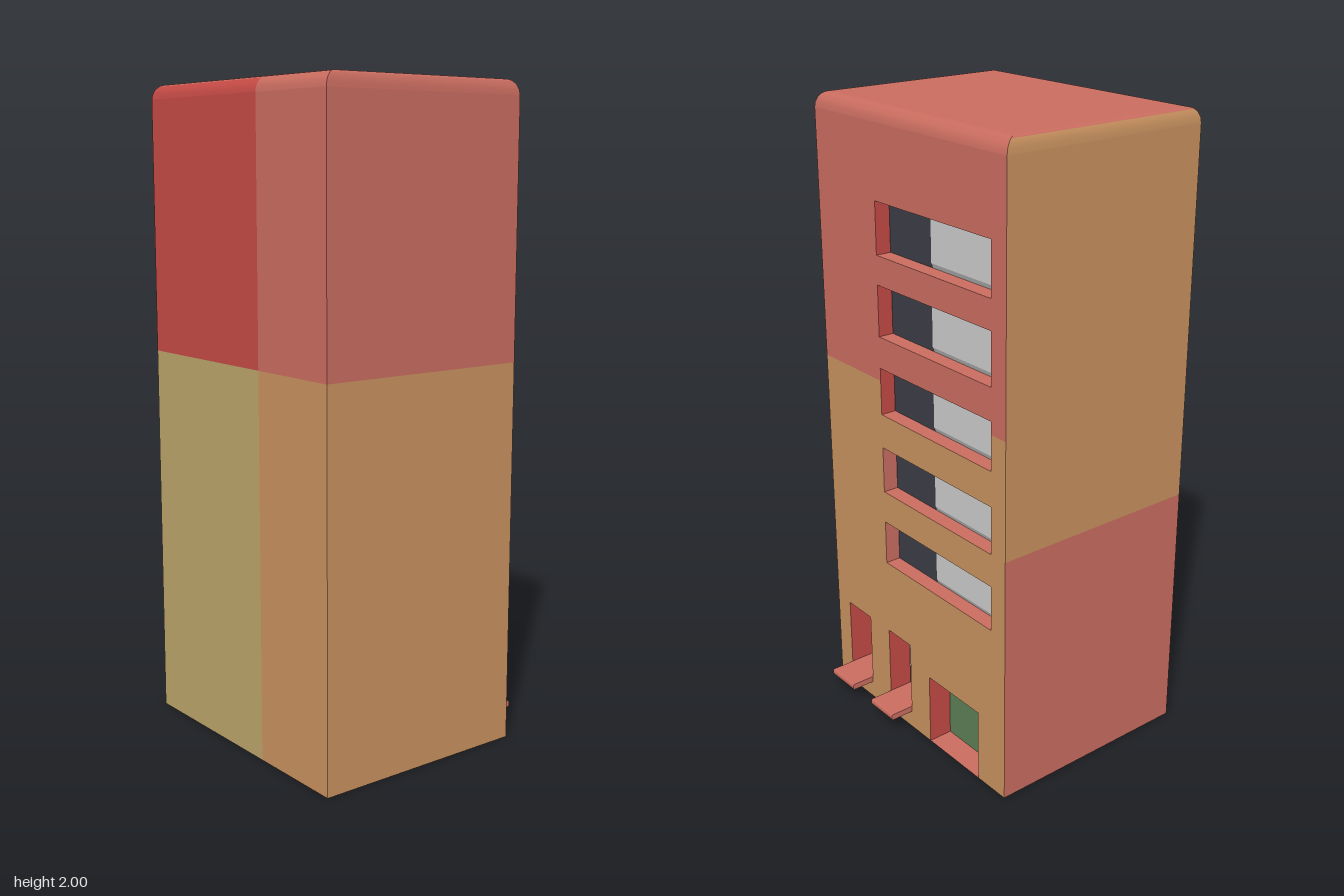
import * as THREE from 'three';

const X0 = -0.39, X1 = 0.31, D = 0.443, H = 2, SPLIT = 1.18, ZS = 0.12;
const RX = 0.04, RY = 0.045, RZ = 0.02;

function mat(name, color) {
  const m = new THREE.MeshStandardMaterial({ color, side: THREE.DoubleSide });
  m.name = name;
  return m;
}

export function createModel() {
  const group = new THREE.Group();
  const red = mat('salmon red', 0xc96c5f), deep = mat('deep red', 0xc44a45);
  const tan = mat('tan', 0xc8915f), olive = mat('olive', 0xbca56a);
  const green = mat('door green', 0x5b7e54), dark = mat('dark glass', 0x3c3b47);
  const grey = mat('light grey', 0xcacaca);

  const add = (name, geo, material, parent = group) => {
    const m = new THREE.Mesh(geo, material);
    m.name = name;
    parent.add(m);
    return m;
  };
  // strip through rows of [left, right] points, listed bottom to top as seen from outside
  const strip = (...rows) => {
    const g = new THREE.BufferGeometry();
    g.setAttribute('position', new THREE.Float32BufferAttribute(rows.flat(2), 3));
    const index = [];
    for (let i = 0; i < rows.length - 1; i++) {
      const a = i * 2;
      index.push(a, a + 1, a + 2, a + 1, a + 3, a + 2);
    }
    g.setIndex(index);
    g.computeVertexNormals();
    return g;
  };

  // plain walls, open underneath
  const top = H - RY;
  const front = (y) => [[X0, y, D], [X1, y, D]];
  const back = (y) => [[X1, y, -D], [X0, y, -D]];
  const left = (y, za, zb) => [[X0, y, za], [X0, y, zb]];
  add('frontWallLower', strip(front(0), front(SPLIT)), tan);
  add('frontWallUpper', strip(front(SPLIT), front(top)), red);
  add('backWallLower', strip(back(0), back(0.81)), red);
  add('backWallUpper', strip(back(0.81), back(top)), tan);
  for (const [za, zb, low, high] of [[-D, ZS, olive, deep], [ZS, D, tan, red]]) {
    add('leftWallLower', strip(left(0, za, zb), left(SPLIT, za, zb)), low);
    add('leftWallUpper', strip(left(SPLIT, za, zb), left(top, za, zb)), high);
  }

  // openings in the right wall, as z from, z to, bottom, top
  const bands = [[1.57, 1.73], [1.32, 1.48], [1.07, 1.22], [0.81, 0.96], [0.56, 0.705]];
  const WA = 0.147, WB = -0.38;
  const slots = [[0.375, 0.253], [0.147, 0.03]];
  const SY0 = 0.06, SY1 = 0.31, DA = -0.07, DB = -0.317, DY = 0.24;

  // right wall with holes, drawn with u = -z
  const wall = (name, outline, holes, material) => {
    const s = new THREE.Shape(outline.map(([u, v]) => new THREE.Vector2(u, v)));
    for (const [za, zb, y0, y1] of holes) {
      s.holes.push(new THREE.Path([[-za, y0], [-za, y1], [-zb, y1], [-zb, y0]]
        .map(([u, v]) => new THREE.Vector2(u, v))));
    }
    add(name, new THREE.ShapeGeometry(s).rotateY(Math.PI / 2).translate(X1, 0, 0), material);
  };
  const hole = ([y0, y1]) => [WA, WB, y0, y1];
  wall('rightWallLower', [[-D, 0], [-DA, 0], [-DA, DY], [-DB, DY], [-DB, 0], [D, 0], [D, SPLIT],
    [-WB, SPLIT], [-WB, bands[2][0]], [-WA, bands[2][0]], [-WA, SPLIT], [-D, SPLIT]],
  [hole(bands[3]), hole(bands[4]), ...slots.map(([a, b]) => [a, b, SY0, SY1])], tan);
  wall('rightWallUpper', [[-D, SPLIT], [-WA, SPLIT], [-WA, bands[2][1]], [-WB, bands[2][1]],
    [-WB, SPLIT], [D, SPLIT], [D, top], [-D, top]], [hole(bands[0]), hole(bands[1])], red);

  // four reveals lining an opening
  const reveals = (parent, za, zb, y0, y1, depth, sideMat) => {
    const i = X1 - depth;
    add('sillReveal', strip([[X1, y0, za], [X1, y0, zb]], [[i, y0, za], [i, y0, zb]]), red, parent);
    add('headReveal', strip([[i, y1, za], [i, y1, zb]], [[X1, y1, za], [X1, y1, zb]]), sideMat, parent);
    add('nearReveal', strip([[X1, y0, za], [i, y0, za]], [[X1, y1, za], [i, y1, za]]), sideMat, parent);
    add('farReveal', strip([[i, y0, zb], [X1, y0, zb]], [[i, y1, zb], [X1, y1, zb]]), sideMat, parent);
  };
  const pane = (name, parent, x, za, zb, y0, y1, m) =>
    add(name, strip([[x, y0, za], [x, y0, zb]], [[x, y1, za], [x, y1, zb]]), m, parent);
  const part = (name) => {
    const g = new THREE.Group();
    g.name = name;
    group.add(g);
    return g;
  };

  // wide windows: dark glass beside a grey panel with a slanted lower edge
  bands.forEach(([y0, y1], n) => {
    const g = part('wideWindow'), x = X1 - 0.05, mid = -0.06;
    reveals(g, WA, WB, y0, y1, 0.05, n < 3 ? deep : red);
    pane('darkPane', g, x, WA, mid, y0, y1, dark);
    pane('greyPane', g, x + 0.008, mid, WB, y0 + 0.016, y1, grey);
    add('greyPaneLowerEdge', strip([[x, y0, mid], [x, y0, WB]],
      [[x + 0.008, y0 + 0.016, mid], [x + 0.008, y0 + 0.016, WB]]), grey, g);
  });

  // small ground floor windows with projecting ledges
  for (const [za, zb] of slots) {
    const g = part('smallWindow'), x = X1 - 0.08;
    reveals(g, za, zb, SY0, SY1, 0.08, deep);
    pane('darkPane', g, x, za, zb, SY0, 0.143, dark);
    pane('greyPane', g, x, za, zb, 0.143, SY1, grey);
    const s = new THREE.Shape();
    s.moveTo(X1 - 0.08, 0.058);
    s.lineTo(0.384, 0.058);
    s.quadraticCurveTo(0.39, 0.058, 0.39, 0.068);
    s.quadraticCurveTo(0.39, 0.078, 0.384, 0.078);
    s.lineTo(X1 - 0.08, 0.078);
    add('ledge', new THREE.ExtrudeGeometry(s, { depth: za - zb, bevelEnabled: false, curveSegments: 4 })
      .translate(0, 0, zb), red, g);
  }

  // recessed door
  const door = part('door');
  reveals(door, DA, DB, 0, DY, 0.08, deep);
  pane('doorPanel', door, X1 - 0.08, DA, DB, 0, DY, green);

  // rounded roof edge: lower half takes the wall colour, upper half the roof colour
  const at = (deg) => {
    const a = deg * Math.PI / 180, k = 1 - Math.cos(a);
    return { l: X0 + RX * k, r: X1 - RX * k, z: D - RZ * k, y: top + RY * Math.sin(a) };
  };
  const sides = [
    ['front', ({ l, r, z, y }) => [[l, y, z], [r, y, z]], red],
    ['back', ({ l, r, z, y }) => [[r, y, -z], [l, y, -z]], tan],
    ['right', ({ r, z, y }) => [[r, y, z], [r, y, -z]], red],
    ['leftRear', ({ l, z, y }) => [[l, y, -z], [l, y, ZS]], deep],
    ['leftFront', ({ l, z, y }) => [[l, y, ZS], [l, y, z]], red],
  ];
  for (const [name, row, m] of sides) {
    add(name + 'RoofEdgeLower', strip(...[0, 20, 40, 60].map((d) => row(at(d)))), m);
    add(name + 'RoofEdgeUpper', strip(...[60, 70, 80, 90].map((d) => row(at(d)))), red);
  }
  const c = at(90);
  add('roof', strip([[c.l, H, c.z], [c.r, H, c.z]], [[c.l, H, -c.z], [c.r, H, -c.z]]), red);

  return group;
}
